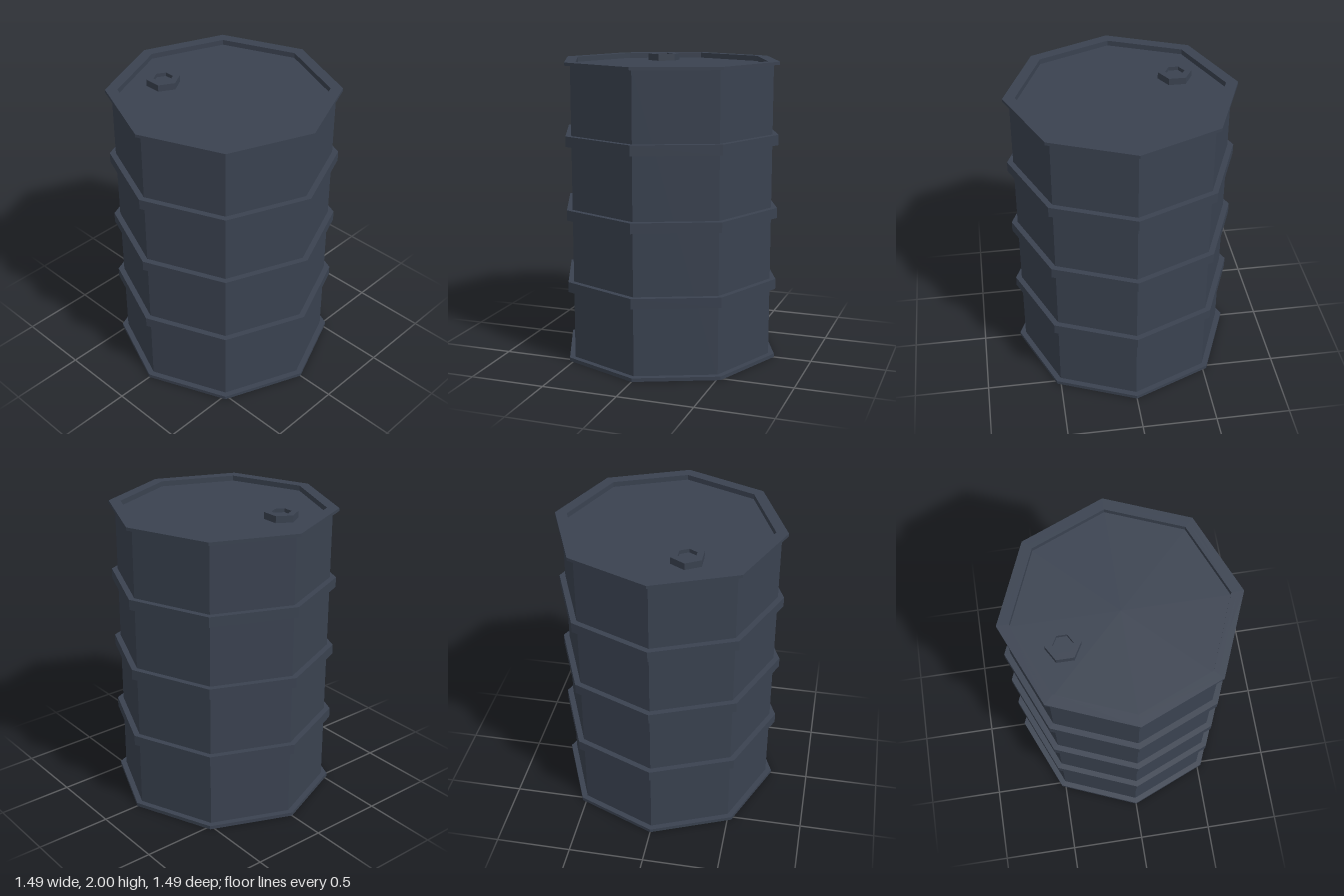
import * as THREE from 'three';

const material = new THREE.MeshStandardMaterial({ color: 0x3a4250, flatShading: true });

// Faceted solid of revolution; profile of [radius, y] runs bottom, outside, top
function turned(name, profile, sides) {
  const points = profile.map(([r, y]) => new THREE.Vector2(r, y));
  const mesh = new THREE.Mesh(new THREE.LatheGeometry(points, sides), material);
  mesh.name = name;
  return mesh;
}

// Closed rectangular ring around the y axis
function ring(name, inner, outer, y0, y1) {
  return turned(name, [[inner, y0], [outer, y0], [outer, y1], [inner, y1], [inner, y0]], 8);
}

export function createModel() {
  const group = new THREE.Group();
  group.name = 'barrel';

  const bodyRadius = 0.705, bandRadius = 0.745, lipRadius = 0.667;
  const lidY = 1.955, baseY = 0.035;

  // Eight-sided wall with recessed base and lid
  group.add(turned('body', [
    [0, baseY], [lipRadius, baseY], [lipRadius, 0], [bodyRadius, 0],
    [bodyRadius, 1.99], [lipRadius, 1.99], [lipRadius, lidY], [0, lidY],
  ], 8));

  // Thin end rims
  group.add(ring('bottomRim', lipRadius, bandRadius, 0, 0.024));
  group.add(ring('topRim', lipRadius, bandRadius, 1.97, 1.99));

  // Raised hoops
  for (const y of [0.515, 1, 1.485]) {
    group.add(ring('hoop', bodyRadius - 0.02, bandRadius, y - 0.034, y + 0.034));
  }

  // Hexagonal filler cap with a sunken centre
  const cap = turned('fillerCap', [
    [0.11, lidY - 0.005], [0.11, 2], [0.063, 2], [0.063, 1.975], [0, 1.975],
  ], 6);
  cap.position.set(-0.175, 0, -0.37);
  group.add(cap);

  return group;
}
